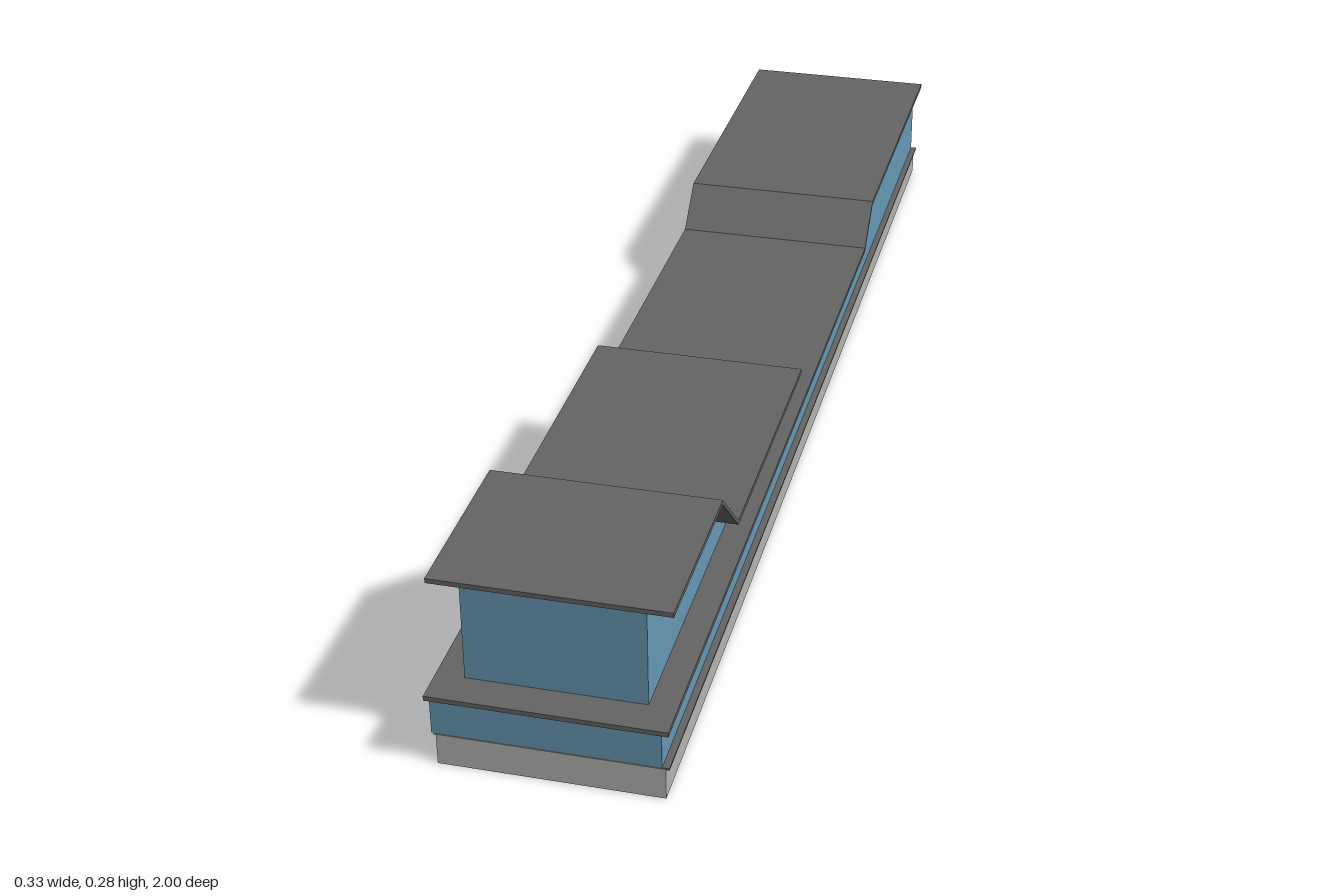
import * as THREE from 'three';

const blue = new THREE.MeshStandardMaterial({ color: 0x6799b4 });
blue.name = 'blueWall';
const grey = new THREE.MeshStandardMaterial({ color: 0xb4b5b3 });
grey.name = 'concrete';
const dark = new THREE.MeshStandardMaterial({ color: 0x646464 });
dark.name = 'darkRoof';

// Side profile of [z, y] points, extruded across x between x0 and x1
function slab(name, points, x0, x1, material) {
  const shape = new THREE.Shape(points.map(([z, y]) => new THREE.Vector2(z, y)));
  const geo = new THREE.ExtrudeGeometry(shape, { depth: x1 - x0, bevelEnabled: false });
  geo.rotateY(-Math.PI / 2).translate(x1, 0, 0);
  const mesh = new THREE.Mesh(geo, material);
  mesh.name = name;
  return mesh;
}

// Roof sheet of constant height following a line of [z, y] top points
function roof(name, line, t) {
  const under = line.map(([z, y]) => [z, y - t]).reverse();
  return slab(name, [...line, ...under], -0.165, 0.163, dark);
}

function box(name, w, h, d, x, y, z, material) {
  const mesh = new THREE.Mesh(new THREE.BoxGeometry(w, h, d), material);
  mesh.name = name;
  mesh.position.set(x, y, z);
  return mesh;
}

export function createModel() {
  const model = new THREE.Group();
  model.name = 'steppedBuilding';

  // Foundation: open-bottomed cells made of thin walls
  const foundation = new THREE.Group();
  foundation.name = 'foundation';
  const H = 0.047, L = 0.985, cells = 17, t = 0.004;
  for (const [side, x] of [['right', -0.155], ['left', 0.153]]) {
    foundation.add(box(side + 'FoundationWall', t, H, 2 * L, x, H / 2, 0, grey));
  }
  for (let i = 0; i <= cells; i++) {
    const z = -L + t / 2 + (i * (2 * L - t)) / cells;
    foundation.add(box('crossWall', 0.304, H, t, -0.001, H / 2, z, grey));
  }
  model.add(foundation);

  // Floor sheet over the cells
  model.add(box('floorPlate', 0.32, 0.003, 2 * L, 0, 0.0485, 0, dark));

  // Long lower storey, rising at the back
  model.add(slab('lowerStorey', [
    [L, 0.05], [L, 0.114], [-0.39, 0.114], [-0.455, 0.175], [-L, 0.175], [-L, 0.05],
  ], -0.163, 0.15, blue));
  model.add(roof('lowerRoof', [[1, 0.12], [-0.39, 0.12], [-0.455, 0.181], [-1, 0.181]], 0.007));

  // Narrower upper storey, tall at the front
  model.add(slab('upperStorey', [
    [0.95, 0.118], [0.95, 0.276], [0.698, 0.276], [0.605, 0.182], [0.2, 0.182], [0.2, 0.118],
  ], -0.125, 0.124, blue));
  model.add(roof('upperRoof', [[0.965, 0.281], [0.7, 0.281], [0.605, 0.187], [0.17, 0.187]], 0.007));

  return model;
}
